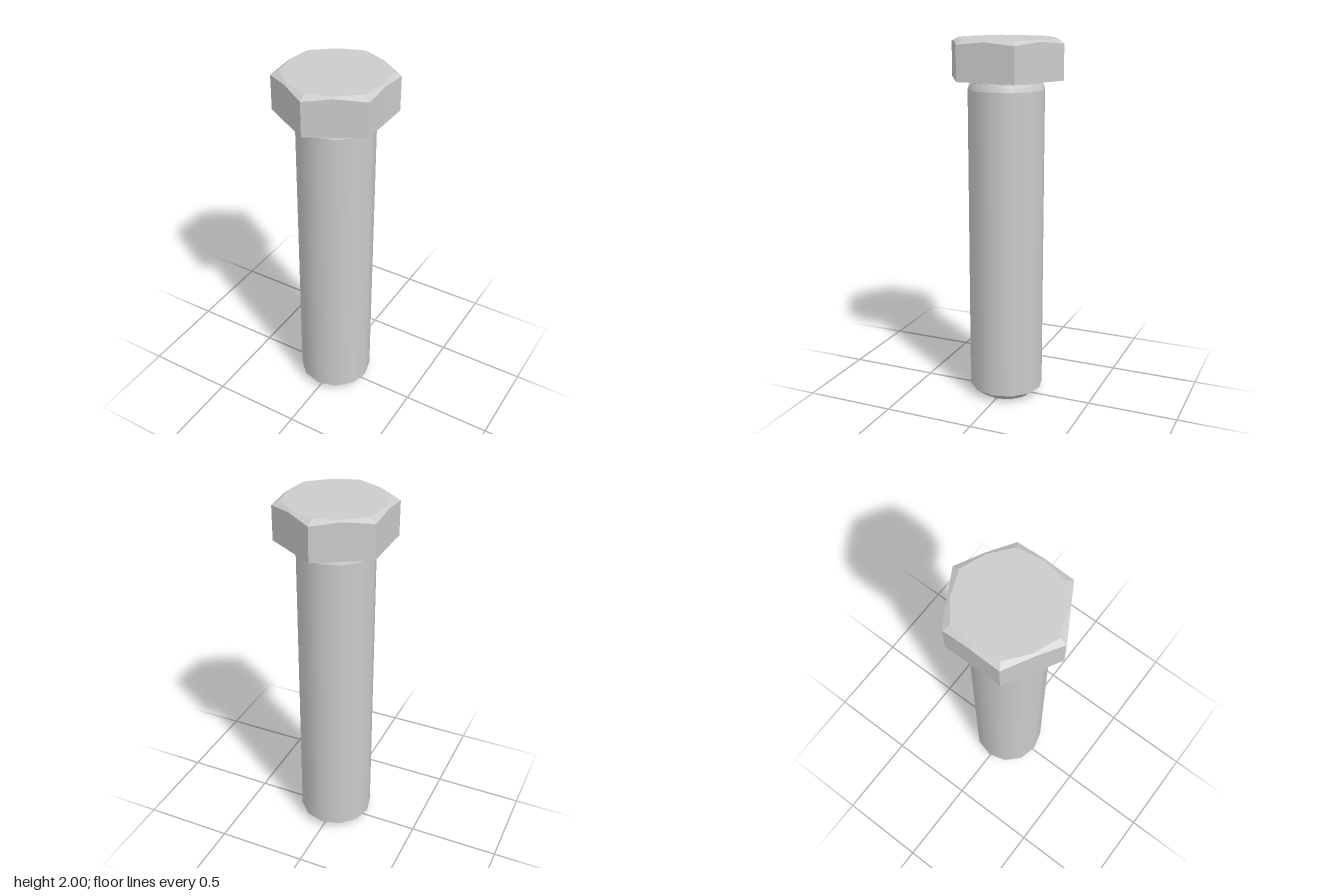
import * as THREE from 'three';

const SIDES = 12;

// Rings of 12 points alternate between hexagon corners and middles of the flats.
function ring(cornerR, cornerY, flatR, flatY) {
  return Array.from({ length: SIDES }, (_, i) => {
    const a = (i / SIDES) * Math.PI * 2;
    const [r, y] = i % 2 ? [flatR, flatY] : [cornerR, cornerY];
    return [r * Math.sin(a), y, r * Math.cos(a)];
  });
}

// Skin a stack of rings from bottom to top and cap both ends.
function loft(rings) {
  const positions = rings.flat(2);
  const index = [];
  for (let k = 0; k < rings.length - 1; k++) {
    for (let i = 0; i < SIDES; i++) {
      const j = (i + 1) % SIDES;
      const a = k * SIDES + i, b = k * SIDES + j;
      index.push(a, b, b + SIDES, a, b + SIDES, a + SIDES);
    }
  }
  const last = (rings.length - 1) * SIDES;
  for (let i = 1; i < SIDES - 1; i++) {
    index.push(0, i + 1, i);
    index.push(last, last + i, last + i + 1);
  }
  const g = new THREE.BufferGeometry();
  g.setAttribute('position', new THREE.Float32BufferAttribute(positions, 3));
  g.setIndex(index);
  const flat = g.toNonIndexed();
  flat.computeVertexNormals();
  return flat;
}

export function createModel() {
  const group = new THREE.Group();
  group.name = 'hexBolt';
  const smooth = new THREE.MeshStandardMaterial({ color: 0xcccccc });
  const faceted = new THREE.MeshStandardMaterial({ color: 0xcccccc, flatShading: true });

  const add = (name, geometry, material) => {
    const mesh = new THREE.Mesh(geometry, material);
    mesh.name = name;
    group.add(mesh);
  };
  // Profiles are [radius, height] pairs running upwards on the outside.
  const lathe = (name, profile) =>
    add(name, new THREE.LatheGeometry(profile.map(([r, y]) => new THREE.Vector2(r, y)), SIDES), smooth);

  // Head: hexagonal prism with chamfered top corners
  add('head', loft([
    ring(0.32, 1.79, 0.277, 1.79),
    ring(0.32, 1.977, 0.277, 1.992),
    ring(0.28, 2, 0.264, 2),
  ]), faceted);

  // Thin bearing face under the head
  lathe('bearingFace', [[0.185, 1.775], [0.207, 1.775]]);
  lathe('bearingFaceTop', [[0.207, 1.778], [0.185, 1.778]]);
  lathe('bearingRim', [[0.207, 1.775], [0.207, 1.778]]);
  lathe('neck', [[0.19, 1.775], [0.19, 1.79]]);

  // Shank narrowing towards the head, with a chamfered tip
  lathe('shank', [[0.207, 0.045], [0.207, 1.735]]);
  lathe('shankShoulder', [[0.207, 1.735], [0.2, 1.757], [0.19, 1.775]]);
  lathe('tipChamfer', [[0.15, 0], [0.207, 0.045]]);
  lathe('tip', [[0, 0], [0.15, 0]]);

  return group;
}
